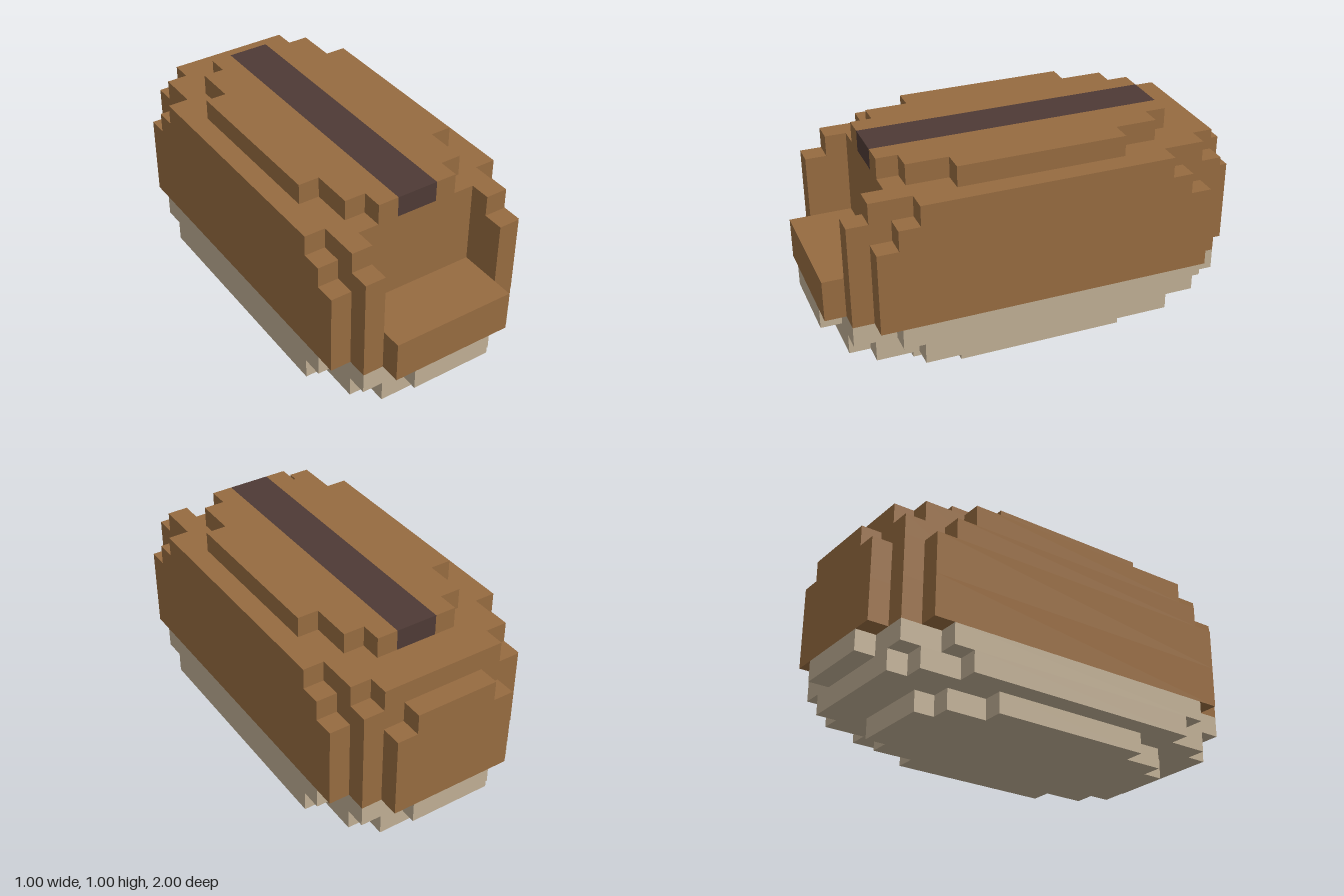
import * as THREE from 'three';

const crust = new THREE.MeshStandardMaterial({ color: 0x966b40 });
crust.name = 'brown crust';
const base = new THREE.MeshStandardMaterial({ color: 0xbfae94 });
base.name = 'pale base';
const dark = new THREE.MeshStandardMaterial({ color: 0x4e3a35 });
dark.name = 'dark stripe';

// Stepped outlines: [half width, half length] of each step
const CAP = [[0.4, 0.4], [0.3, 0.6], [0.2, 0.7]];
const SHOULDER = [[0.5, 0.6], [0.4, 0.8], [0.3, 0.9]];
const BULGE = [[0.5, 0.7], [0.4, 0.9], [0.2, 1]];
const MIDDLE = [[0.5, 0.8], [0.4, 0.9], [0.3, 1]];

// Opening cut into the front end
const OPENING = [0.3, 0.7];

// Staircase points of one quadrant, from the side towards the end
function stairs(steps, sign) {
  const points = [];
  steps.forEach(([x, z], i) => {
    points.push([x, z * sign]);
    if (i + 1 < steps.length) points.push([steps[i + 1][0], z * sign]);
  });
  return points;
}

// Left side of an outline, running from the back to the front
function sideOutline(steps, open) {
  const front = open ? [...steps.filter(([x]) => x > OPENING[0]), OPENING] : steps;
  return [...stairs(steps, -1).reverse(), ...stairs(front, 1)];
}

function slab(name, material, points, y0, y1) {
  const shape = new THREE.Shape(points.map(([x, z]) => new THREE.Vector2(x, -z)));
  const geometry = new THREE.ExtrudeGeometry(shape, { depth: y1 - y0, bevelEnabled: false });
  geometry.rotateX(-Math.PI / 2);
  const mesh = new THREE.Mesh(geometry, material);
  mesh.position.y = y0;
  mesh.name = name;
  return mesh;
}

const mirror = (points) => points.map(([x, z]) => [-x, z]).reverse();

export function createModel() {
  const group = new THREE.Group();
  group.name = 'blockLoaf';

  // Full-width layers of the body, bottom to top
  const layers = [
    ['baseBottom', base, CAP, 0, 0.1, false],
    ['baseLower', base, SHOULDER, 0.1, 0.2, false],
    ['baseUpper', base, BULGE, 0.2, 0.3, false],
    ['crustWithSill', crust, MIDDLE, 0.3, 0.5, false],
    ['crustWall', crust, MIDDLE, 0.5, 0.7, true],
    ['crustUpper', crust, BULGE, 0.7, 0.8, true],
    ['crustShoulder', crust, SHOULDER, 0.8, 0.9, true],
  ];
  for (const [name, material, steps, y0, y1, open] of layers) {
    const side = sideOutline(steps, open);
    group.add(slab(name, material, [...side, ...mirror(side)], y0, y1));
  }

  // Top layer: two crust halves with the stripe between them
  const half = [[0.1, -0.7], ...sideOutline(CAP, false), [0.1, 0.7]];
  group.add(slab('topLeft', crust, half, 0.9, 1));
  group.add(slab('topRight', crust, mirror(half), 0.9, 1));

  const stripe = new THREE.Mesh(new THREE.BoxGeometry(0.2, 0.1, 1.4), dark);
  stripe.position.y = 0.95;
  stripe.name = 'topStripe';
  group.add(stripe);

  return group;
}
